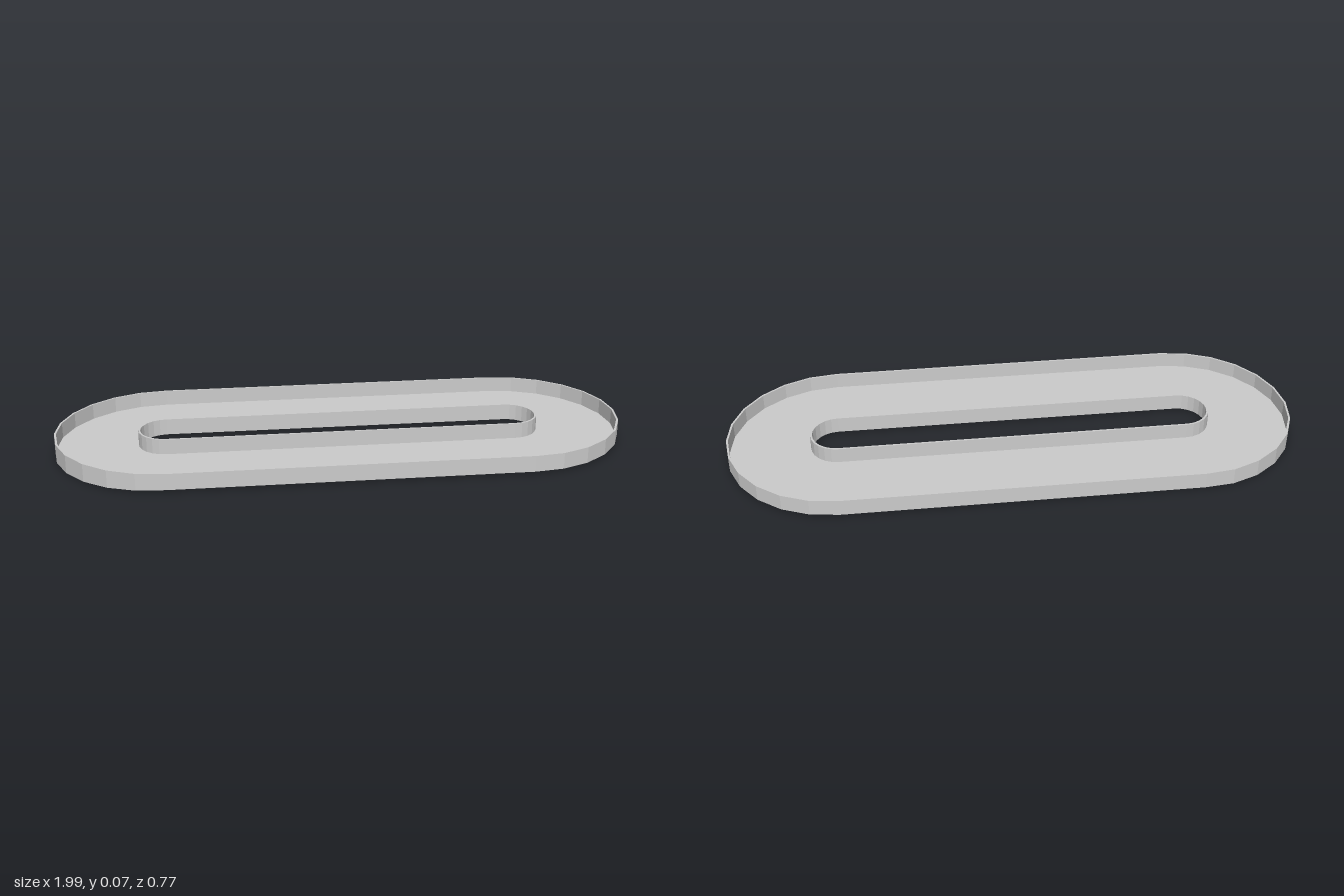
import * as THREE from 'three';

const HALF = 0.61; // half length of the straight run
const OUTER = 0.385, SLOT = 0.09, WALL = 0.007;
const BASE = 0.009, FLOOR = 0.012, TOP = 0.066;

// Stadium outline: two straight sides joined by half circles
function stadium(Type, r) {
  const s = new Type();
  s.absarc(HALF, 0, r, -Math.PI / 2, Math.PI / 2, false);
  s.absarc(-HALF, 0, r, Math.PI / 2, Math.PI * 1.5, false);
  s.closePath();
  return s;
}

// Upright ring between two stadium outlines
function ring(rOut, rIn, y0, y1) {
  const shape = stadium(THREE.Shape, rOut);
  shape.holes.push(stadium(THREE.Path, rIn));
  const geo = new THREE.ExtrudeGeometry(shape, { depth: y1 - y0, bevelEnabled: false, curveSegments: 6 });
  return geo.rotateX(-Math.PI / 2).translate(0, y0, 0);
}

export function createModel() {
  const group = new THREE.Group();
  const material = new THREE.MeshStandardMaterial({ color: 0xcccccc, flatShading: true });
  const add = (name, geo) => {
    const mesh = new THREE.Mesh(geo, material);
    mesh.name = name;
    group.add(mesh);
  };

  // Thin floor whose underside sags slightly towards the right end
  const floor = ring(OUTER, SLOT, BASE, FLOOR);
  const p = floor.attributes.position;
  for (let i = 0; i < p.count; i++) {
    if (p.getY(i) < (BASE + FLOOR) / 2) {
      const sag = Math.max(0, (-HALF - p.getX(i)) / OUTER);
      p.setY(i, BASE * (1 - sag));
    }
  }
  floor.computeVertexNormals();
  add('floor', floor);

  // Raised rims around the outside and around the slot
  add('outerRim', ring(OUTER, OUTER - WALL, FLOOR, TOP));
  add('slotRim', ring(SLOT + WALL, SLOT, FLOOR, TOP));

  return group;
}
